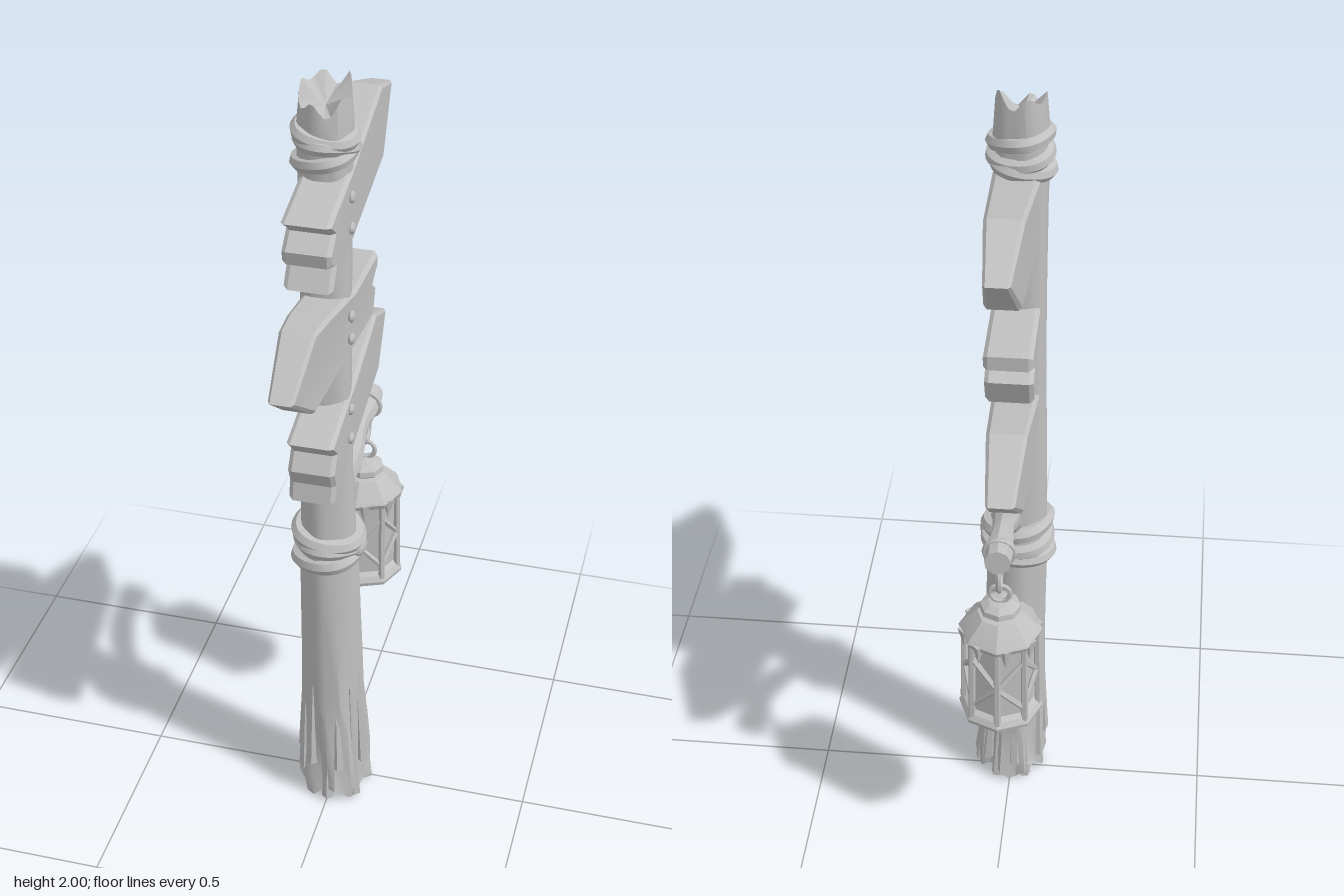
import * as THREE from 'three';
import { toCreasedNormals } from 'three/addons/utils/BufferGeometryUtils.js';

const V = (x, y, z) => new THREE.Vector3(x, y, z);
const clamp = THREE.MathUtils.clamp;

// Move every vertex of a geometry by a rule
function warp(geo, rule) {
  const p = geo.attributes.position;
  const v = new THREE.Vector3();
  for (let i = 0; i < p.count; i++) {
    v.fromBufferAttribute(p, i);
    rule(v);
    p.setXYZ(i, v.x, v.y, v.z);
  }
  return geo;
}

export function createModel() {
  const model = new THREE.Group();
  const grey = new THREE.MeshStandardMaterial({ color: 0xc0c0c0 });
  grey.name = 'weathered grey';

  function add(name, geo, parent = model, crease = 0.6) {
    const mesh = new THREE.Mesh(toCreasedNormals(geo, crease), grey);
    mesh.name = name;
    parent.add(mesh);
    return mesh;
  }
  function group(name) {
    const g = new THREE.Group();
    g.name = name;
    model.add(g);
    return g;
  }
  const lathe = (pts, n) => new THREE.LatheGeometry(pts.map(p => new THREE.Vector2(...p)), n);
  // Straight bar between two points
  function bar(a, b, r1, r2, sides = 5) {
    const d = b.clone().sub(a);
    const g = new THREE.CylinderGeometry(r2, r1, d.length(), sides);
    g.applyQuaternion(new THREE.Quaternion().setFromUnitVectors(V(0, 1, 0), d.normalize()));
    const m = a.clone().add(b).multiplyScalar(0.5);
    return g.translate(m.x, m.y, m.z);
  }
  // Centre line of the slightly leaning post
  const axisX = y => -0.022 * clamp((y - 0.1) / 0.85, 0, 1) + 0.002;
  const axisZ = 0.031;

  // Post: gnarled base, jagged foot and broken slanted top
  const post = lathe([[0.001, 0.03], [0.09, 0], [0.088, 0.06], [0.084, 0.13], [0.08, 0.22], [0.077, 0.32],
    [0.075, 0.45], [0.073, 0.6], [0.072, 0.72], [0.067, 0.85], [0.063, 1], [0.06, 1.2], [0.059, 1.4],
    [0.059, 1.6], [0.06, 1.8], [0.062, 1.88], [0.055, 1.98], [0.001, 1.93]], 28);
  warp(post, v => {
    const a = Math.atan2(v.x, v.z);
    const r = Math.hypot(v.x, v.z);
    const rough = clamp((0.5 - v.y) / 0.45, 0, 1);
    const k = 1 + 0.03 * Math.sin(4 * a + v.y * 3) + 0.02 * Math.sin(7 * a - v.y * 5)
      + rough * (0.07 * Math.sin(9 * a + v.y * 9) + 0.04 * Math.sin(5 * a - v.y * 14));
    if (r > 0.01 && v.y < 0.03) v.y += 0.022 * (1 + Math.sin(5 * a + 1));
    if (r > 0.01 && v.y > 1.95) v.y = 2 - 0.6 * Math.abs(v.z + 0.03) - 0.015 * (1 + Math.sin(5 * a));
    v.x = v.x * k + axisX(v.y);
    v.z = v.z * k + axisZ;
  });
  add('post', post, model, 0.5);

  // Bark splinters around the foot and shaft
  const bark = group('bark');
  for (let i = 0; i < 13; i++) {
    const a = i * 2.4;
    const low = 0.01 + 0.05 * (i % 3);
    const high = low + 0.2 + 0.05 * (i % 4);
    const at = (y, r) => V(axisX(y) + Math.sin(a) * r, y, axisZ + Math.cos(a) * r);
    add('barkSplinter', bar(at(low, 0.082), at(high, 0.07), 0.016, 0.005), bark, 0.3);
  }

  // Rope bindings: overlapping tilted coils
  function binding(name, y0, radius, coils, thick) {
    const g = group(name);
    for (let i = 0; i < coils; i++) {
      const pts = [];
      for (let j = 0; j < 16; j++) {
        const a = j / 16 * Math.PI * 2;
        const r = radius + 0.004 * Math.sin(a * 3 + i * 2);
        pts.push(V(axisX(y0) + Math.sin(a) * r, y0 + i * thick * 1.65 + 0.014 * Math.sin(a + i * 1.9), axisZ + Math.cos(a) * r));
      }
      add('ropeCoil', new THREE.TubeGeometry(new THREE.CatmullRomCurve3(pts, true), 36, thick, 7, true), g, 0.8);
    }
    return g;
  }
  const lowerRope = binding('lowerRope', 0.755, 0.07, 3, 0.021);
  binding('upperRope', 1.815, 0.058, 3, 0.018);
  add('ropeKnot', new THREE.IcosahedronGeometry(0.03, 1).scale(0.7, 1, 1).translate(0.06, 0.79, 0.04), lowerRope);

  // Sign boards: outlines as [z, y], thinner toward the pointed end
  const boards = [
    { name: 'topBoard', tip: -1, nails: [1.73, 1.655], outline: [[0.233, 1.745], [0.19, 1.71], [0.228, 1.677],
      [0.222, 1.645], [0.185, 1.63], [0.217, 1.58], [-0.31, 1.655], [-0.44, 1.79], [-0.275, 1.85], [0.04, 1.79]] },
    { name: 'middleBoard', tip: 1, nails: [1.433, 1.375], outline: [[0.44, 1.433], [0.307, 1.333], [-0.165, 1.317],
      [-0.19, 1.385], [-0.155, 1.405], [-0.206, 1.43], [-0.206, 1.465], [0, 1.475], [0.21, 1.52], [0.3, 1.53]] },
    { name: 'bottomBoard', tip: -1, nails: [1.185, 1.105], outline: [[0.217, 1.18], [0.18, 1.14], [0.207, 1.1],
      [0.19, 1.06], [0.2, 1.015], [-0.28, 1.095], [-0.397, 1.2], [-0.233, 1.28], [0, 1.235]] },
  ];
  for (const b of boards) {
    const g = group(b.name);
    const shape = new THREE.Shape(b.outline.map(([z, y]) => new THREE.Vector2(-z, y)));
    const geo = new THREE.ExtrudeGeometry(shape, {
      depth: 0.09, bevelEnabled: true, bevelSegments: 1, bevelSize: 0.008, bevelOffset: -0.008, bevelThickness: 0.01,
    });
    geo.translate(0, 0, -0.045).rotateY(Math.PI / 2);
    warp(geo, v => {
      const t = clamp((b.tip * v.z - 0.05) / 0.39, 0, 1);
      v.x = v.x * (1 - 0.5 * Math.pow(t, 1.5)) - 0.012;
    });
    add('plank', geo, g, 0.3);
    for (const y of b.nails) {
      add('nail', new THREE.SphereGeometry(0.014, 8, 6).scale(0.6, 1, 1).translate(0.043, y, 0.047), g);
    }
  }

  // Curved branch carrying the lantern
  const arm = group('arm');
  const path = new THREE.CatmullRomCurve3([V(-0.01, 0.8, 0.03), V(-0.005, 0.865, -0.03), V(0, 0.925, -0.09),
    V(0, 0.965, -0.16), V(0, 0.98, -0.235), V(0, 0.988, -0.31)]);
  const branch = new THREE.TubeGeometry(path, 18, 0.029, 9);
  warp(branch, v => {
    v.x *= 1 + 0.12 * Math.sin(v.z * 40);
    v.y += 0.003 * Math.sin(v.z * 55);
  });
  add('branch', branch, arm);
  add('branchEnd', bar(V(0, 0.985, -0.285), V(0, 0.99, -0.333), 0.033, 0.031, 9), arm);

  // Hanging ring and hook
  const cz = -0.27;
  add('hangingRing', new THREE.TorusGeometry(0.028, 0.007, 6, 16).rotateY(Math.PI / 2).scale(1, 1.45, 1)
    .translate(0, 0.915, -0.285), arm);
  add('strap', new THREE.TorusGeometry(0.034, 0.007, 6, 16).translate(0, 0.983, -0.285), arm);
  add('hook', new THREE.TorusGeometry(0.024, 0.006, 6, 14).translate(0, 0.853, -0.278), arm);

  // Lantern: roof, core and floor in eight sides
  const lantern = group('lantern');
  lantern.position.set(0, 0, cz);
  add('lanternRoof', lathe([[0.001, 0.72], [0.094, 0.728], [0.1, 0.742], [0.093, 0.752], [0.055, 0.79],
    [0.042, 0.793], [0.05, 0.8], [0.048, 0.814], [0.03, 0.825], [0.001, 0.832]], 8), lantern, 0.3);
  add('lanternCore', new THREE.CylinderGeometry(0.078, 0.08, 0.225, 8), lantern, 0.3).position.y = 0.615;
  add('lanternFloor', lathe([[0.001, 0.488], [0.1, 0.488], [0.102, 0.498], [0.093, 0.512], [0.08, 0.52],
    [0.001, 0.52]], 8), lantern, 0.3);

  // Corner rods and crossed twigs of the cage
  const on = (i, y, r = 0.086) => {
    const a = i * Math.PI / 4;
    return V(Math.sin(a) * r, y, Math.cos(a) * r);
  };
  for (let i = 0; i < 8; i++) {
    add('cageRod', bar(on(i, 0.505, 0.09), on(i, 0.735, 0.087), 0.009, 0.008), lantern);
    const up = i % 2 ? 0.69 : 0.615;
    const down = i % 2 ? 0.54 : 0.615;
    const nextUp = i % 2 ? 0.615 : 0.69;
    const nextDown = i % 2 ? 0.615 : 0.54;
    add('cageTwig', bar(on(i, up), on(i + 1, nextUp), 0.008, 0.006), lantern);
    add('cageTwig', bar(on(i, down), on(i + 1, nextDown), 0.006, 0.008), lantern);
    // Small drooping leaves under the eave
    add('eaveLeaf', new THREE.ConeGeometry(0.016, 0.06, 4).rotateX(Math.PI).translate(...on(i + 0.3, 0.715, 0.086)), lantern, 0.3);
  }

  return model;
}
